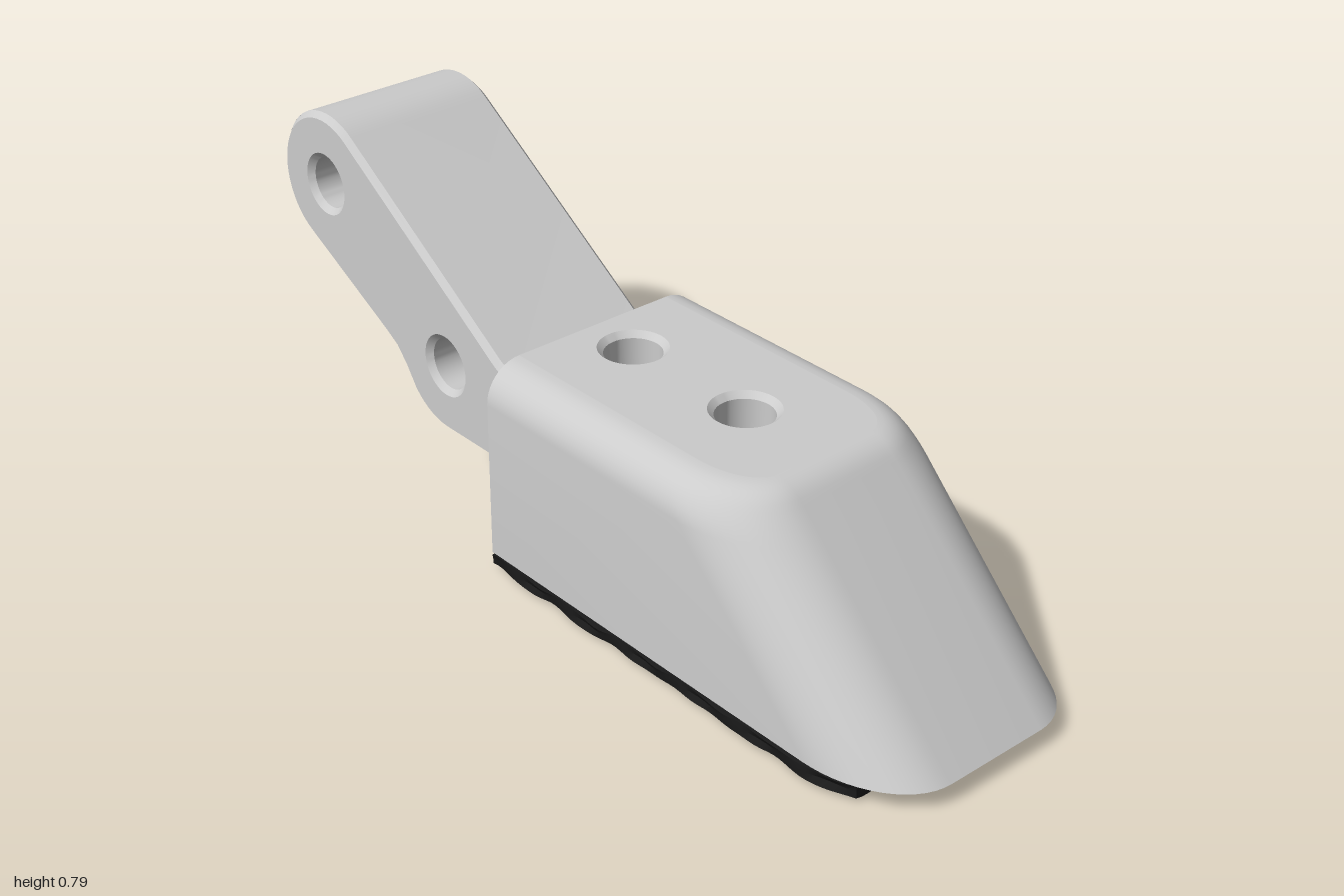
import * as THREE from 'three';
import { toCreasedNormals } from 'three/addons/utils/BufferGeometryUtils.js';

const grey = new THREE.MeshStandardMaterial({ color: 0xcccccc });
const greyDouble = new THREE.MeshStandardMaterial({ color: 0xcccccc, side: THREE.DoubleSide });
const black = new THREE.MeshStandardMaterial({ color: 0x1a1a1a });

const V2 = (x, y) => new THREE.Vector2(x, y);
const rad = THREE.MathUtils.degToRad;

function add(parent, name, geometry, material = grey) {
  const mesh = new THREE.Mesh(geometry, material);
  mesh.name = name;
  parent.add(mesh);
  return mesh;
}

const circleHole = (x, y, r) => new THREE.Path().absarc(x, y, r, 0, Math.PI * 2, true);

// Indexed surface over a grid of points: rows x cols, point(i, j) -> [x, y, z]
function gridSurface(rows, cols, point, closed) {
  const pos = [], idx = [];
  for (let i = 0; i < rows; i++) for (let j = 0; j < cols; j++) pos.push(...point(i, j));
  for (let i = 0; i < rows - 1; i++) {
    for (let j = 0; j < (closed ? cols : cols - 1); j++) {
      const k = (j + 1) % cols;
      const a = i * cols + j, b = i * cols + k, c = a + cols, d = b + cols;
      idx.push(a, b, d, a, d, c);
    }
  }
  const g = new THREE.BufferGeometry();
  g.setAttribute('position', new THREE.Float32BufferAttribute(pos, 3));
  g.setIndex(idx);
  return toCreasedNormals(g, 0.5);
}

// ---- Arm: bevelled link with two cross bores and two small radial holes ----
const R = 0.163, STEP = 7, BEVEL = 0.013, HALF = 0.18;
const endPivot = V2(-0.837, 0.63), lowPivot = V2(-0.42, 0.35);
const PATCH = R * rad(3 * STEP);
const onArc = (c, deg) => V2(c.x + R * Math.cos(rad(deg)), c.y + R * Math.sin(rad(deg)));

function buildArm() {
  const arm = new THREE.Group();
  arm.name = 'arm';

  const outline = [];
  for (let a = 55; a <= 244; a += STEP) outline.push(onArc(endPivot, a));
  outline.push(V2(-0.64, 0.342), V2(-0.603, 0.32), V2(-0.572, 0.285));
  for (let a = 221; a <= 270; a += STEP) outline.push(onArc(lowPivot, a));
  outline.push(V2(lowPivot.x + PATCH, lowPivot.y - R), V2(-0.13, 0.187), V2(-0.13, 0.4),
    V2(-0.165, 0.403), V2(-0.2, 0.411), V2(-0.24, 0.431));
  const shape = new THREE.Shape(outline);
  for (const p of [endPivot, lowPivot]) shape.holes.push(circleHole(p.x, p.y, 0.058));
  const body = new THREE.ExtrudeGeometry(shape, {
    depth: 2 * HALF, curveSegments: 20, bevelEnabled: true, bevelSegments: 1,
    bevelSize: BEVEL, bevelThickness: BEVEL, bevelOffset: -BEVEL,
  }).translate(0, 0, -HALF);

  // Radial holes: s runs along the outline, angle is where s = 0
  const holes = [
    { name: 'endHole', pivot: endPivot, angle: 146, map: s => onArc(endPivot, 146 + s / R * 180 / Math.PI) },
    {
      name: 'lowerHole', pivot: lowPivot, angle: 270,
      map: s => s < 0 ? onArc(lowPivot, 270 + s / R * 180 / Math.PI) : V2(lowPivot.x + s, lowPivot.y - R),
    },
  ];

  // Open the edge wall where the radial holes sit
  const p = body.attributes.position, kept = [];
  const centres = holes.map(h => h.map(0));
  for (let t = 0; t < p.count; t += 3) {
    const v = [0, 1, 2].map(k => new THREE.Vector3().fromBufferAttribute(p, t + k));
    const box = new THREE.Box3().setFromPoints(v);
    const mid = box.getCenter(new THREE.Vector3());
    const isWall = box.max.z < HALF + 0.001 && box.min.z > -HALF - 0.001;
    if (isWall && centres.some(c => c.distanceTo(mid) < 0.06)) continue;
    v.forEach(q => kept.push(q.x, q.y, q.z));
  }
  const wall = new THREE.BufferGeometry();
  wall.setAttribute('position', new THREE.Float32BufferAttribute(kept, 3));
  add(arm, 'armBody', toCreasedNormals(wall, 0.5));

  // Refill each opening with a wall patch around a round hole, plus its bore
  const N = 48, RINGS = 6, r = 0.044;
  for (const h of holes) {
    add(arm, h.name + 'Surround', gridSurface(RINGS, N, (i, j) => {
      const a = j / N * Math.PI * 2, c = Math.cos(a), s = Math.sin(a);
      const k = 1 / Math.max(Math.abs(c), Math.abs(s)), t = i / (RINGS - 1);
      const q = h.map(THREE.MathUtils.lerp(r * c, k * c * PATCH, t));
      return [q.x, q.y, THREE.MathUtils.lerp(r * s, k * s * HALF, t)];
    }, true), greyDouble);

    const inner = 0.052, outer = R - 0.003;
    const bore = new THREE.CylinderGeometry(r, r, outer - inner, 32, 1, true);
    bore.translate(0, (inner + outer) / 2, 0).rotateZ(rad(h.angle - 90)).translate(h.pivot.x, h.pivot.y, 0);
    add(arm, h.name + 'Bore', bore, greyDouble);
  }
  return arm;
}

// ---- Block: rounded body with a sloping nose, lofted from level outlines ----
const BASE = 0.047, TOP = 0.487, FILLET = 0.085, BACK = -0.155, WIDTH = 0.283;

function buildBlock() {
  const block = new THREE.Group();
  block.name = 'block';
  const cy = TOP - FILLET, cx = 1.047 - cy - FILLET * Math.SQRT2;

  function ring(y, inset) {
    const up = y - cy;
    const front = up > FILLET * Math.SQRT1_2
      ? cx + Math.sqrt(Math.max(0, FILLET ** 2 - up ** 2)) : 1.047 - y;
    const w = WIDTH - inset, rz = 0.16 - inset, rx = 0.225 - inset;
    const half = [V2(BACK, w)];
    for (let i = 0; i <= 14; i++) {
      const a = Math.PI / 2 * (1 - i / 14);
      half.push(V2(front - rx + rx * Math.cos(a), w - rz + rz * Math.sin(a)));
    }
    const other = half.map(q => V2(q.x, -q.y)).reverse();
    return { y, points: [...half, ...other] };
  }

  const rings = [ring(BASE, 0)];
  for (let i = 0; i <= 10; i++) {
    const a = Math.PI / 2 * i / 10;
    rings.push(ring(cy + FILLET * Math.sin(a), FILLET * (1 - Math.cos(a))));
  }
  add(block, 'blockSides', gridSurface(rings.length, rings[0].points.length, (i, j) => {
    const q = rings[i].points[j];
    return [q.x, rings[i].y, q.y];
  }, true));

  // Flat top with two countersunk blind holes, and flat underside
  const flat = level => new THREE.Shape(level.points.map(q => V2(q.x, -q.y)));
  const topShape = flat(rings[rings.length - 1]);
  const holeX = [-0.03, 0.305];
  for (const x of holeX) topShape.holes.push(circleHole(x, 0, 0.075));
  add(block, 'blockTop', new THREE.ShapeGeometry(topShape, 24).rotateX(-Math.PI / 2).translate(0, TOP, 0));
  add(block, 'blockUnderside', new THREE.ShapeGeometry(flat(rings[0])).rotateX(Math.PI / 2).translate(0, BASE, 0));
  const profile = [V2(0.075, TOP), V2(0.062, TOP - 0.013), V2(0.062, 0.25), V2(0, 0.25)];
  for (const x of holeX) {
    const bore = toCreasedNormals(new THREE.LatheGeometry(profile, 48), 0.5);
    add(block, 'topHole', bore.translate(x, 0, 0), greyDouble);
  }
  return block;
}

// ---- Pad: thin uneven sole under the block ----
function buildPad() {
  const g = new THREE.BoxGeometry(1.045, 0.028, 0.562, 60, 2, 36);
  const p = g.attributes.position;
  for (let i = 0; i < p.count; i++) {
    let x = p.getX(i), y = p.getY(i), z = p.getZ(i);
    // round the front corners a little
    const nose = Math.max(0, (x - 0.4) / 0.1225);
    z *= 1 - 0.1 * nose * nose;
    const lump = Math.sin(x * 31 + z * 17) * 0.5 + Math.sin(x * 13 - z * 43 + 1) * 0.3 + Math.sin(x * 67 + z * 59) * 0.2;
    const edge = Math.sin(x * 37 + y * 150) * 0.003 + Math.sin(z * 41 + y * 110) * 0.003;
    p.setXYZ(i, x + edge + 0.365, y + lump * 0.006 + 0.024, z + edge);
  }
  return toCreasedNormals(g, 0.6);
}

export function createModel() {
  const model = new THREE.Group();
  model.name = 'armWithPaddedBlock';
  model.add(buildArm(), buildBlock());
  add(model, 'pad', buildPad(), black);
  return model;
}
